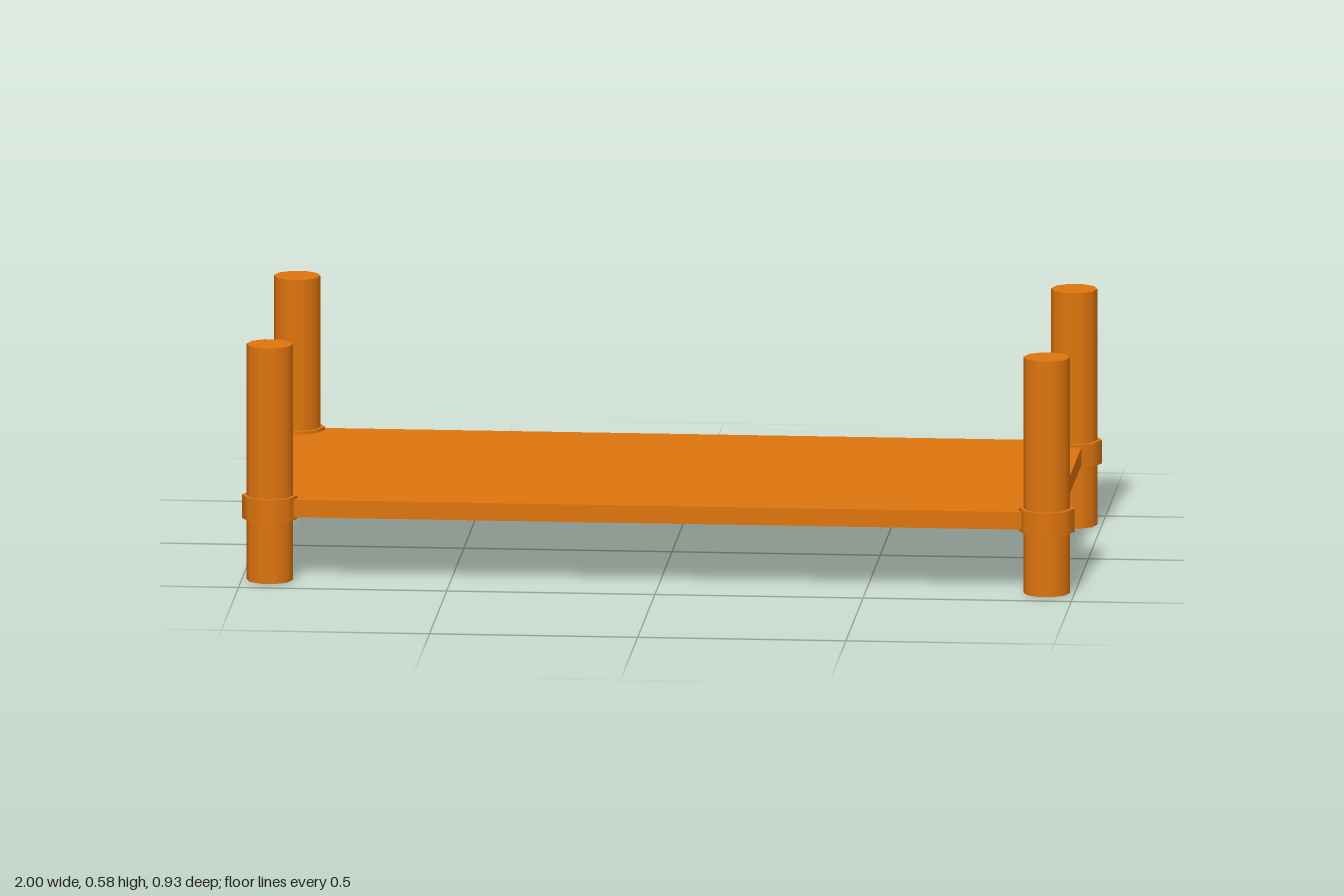
import * as THREE from 'three';

export function createModel() {
  const model = new THREE.Group();
  model.name = 'shelf';

  const orange = new THREE.MeshStandardMaterial({ color: 0xdf750e });
  orange.name = 'orange';

  const add = (parent, name, geometry, y) => {
    const mesh = new THREE.Mesh(geometry, orange);
    mesh.name = name;
    mesh.position.y = y;
    parent.add(mesh);
  };

  // Flat board, sunk into the four collars
  add(model, 'board', new THREE.BoxGeometry(1.91, 0.043, 0.84), 0.1785);

  // Ten-sided post and eight-sided collar, shared by all corners
  const post = new THREE.CylinderGeometry(0.056, 0.056, 0.576, 10, 1, false, Math.PI / 2);
  const collar = new THREE.CylinderGeometry(0.067, 0.067, 0.057, 8);

  for (const [sx, xName] of [[1, 'Left'], [-1, 'Right']]) {
    for (const [sz, zName] of [[1, 'front'], [-1, 'back']]) {
      const leg = new THREE.Group();
      leg.name = `${zName}${xName}Leg`;
      leg.position.set(sx * 0.933, 0, sz * 0.4);
      leg.rotation.y = sx > 0 ? 0 : Math.PI;
      add(leg, 'post', post, 0.288);
      add(leg, 'collar', collar, 0.1785);
      model.add(leg);
    }
  }
  return model;
}
